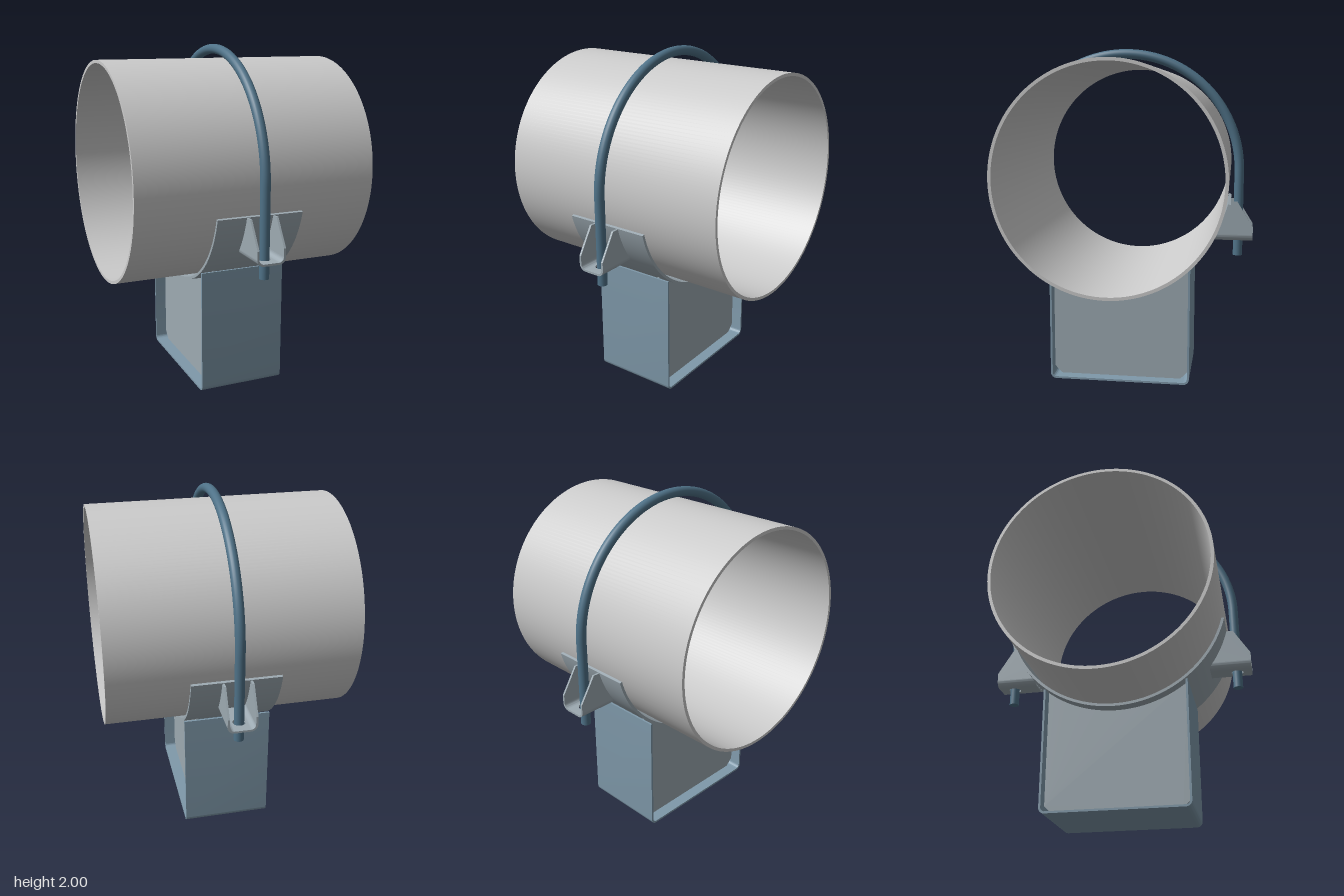
import * as THREE from 'three';
import { toCreasedNormals } from 'three/addons/utils/BufferGeometryUtils.js';

const CY = 1.275;          // height of the pipe axis
const HALF = 0.257;        // half width of the support
const PI = Math.PI;

const material = (color) => new THREE.MeshStandardMaterial({ color });
const pipeMat = material(0xcccccc);
const plateMat = material(0x9daab2);
const channelMat = material(0x7f99aa);
const boltMat = material(0x4f7288);

function addMesh(parent, name, geometry, mat) {
  const mesh = new THREE.Mesh(geometry, mat);
  mesh.name = name;
  parent.add(mesh);
  return mesh;
}

// Extrude a shape, centred on its depth, with smooth curves and sharp edges
function extrude(shape, depth, curveSegments = 24) {
  const g = new THREE.ExtrudeGeometry(shape, { depth, bevelEnabled: false, curveSegments });
  g.translate(0, 0, -depth / 2);
  return toCreasedNormals(g, 0.5);
}

// Shape drawn in (z, y), extruded along x
const extrudeX = (shape, depth, segments) => extrude(shape, depth, segments).rotateY(-PI / 2);

const polygon = (points) => new THREE.Shape(points.map(([a, b]) => new THREE.Vector2(a, b)));

// Part of a ring between two angles
function arcBand(cx, cy, inner, outer, from, to) {
  const s = new THREE.Shape();
  s.absarc(cx, cy, outer, from, to, false);
  s.absarc(cx, cy, inner, to, from, true);
  s.closePath();
  return s;
}

// U-shaped channel with rounded lower corners
function channelShape() {
  const w = 0.425, t = 0.012, top = 0.735, r = 0.035;
  const s = new THREE.Shape();
  s.moveTo(-w, top);
  s.lineTo(-w, r);
  s.absarc(-w + r, r, r, PI, 1.5 * PI, false);
  s.absarc(w - r, r, r, 1.5 * PI, 2 * PI, false);
  s.lineTo(w, top);
  s.lineTo(w - t, top);
  s.absarc(w - r, r, r - t, 0, -PI / 2, true);
  s.absarc(-w + r, r, r - t, -PI / 2, -PI, true);
  s.lineTo(-w + t, top);
  s.closePath();
  return s;
}

// Web plate: clipped lower corners, top cut to the cradle
function webShape() {
  const w = 0.413, t = 0.012, c = 0.045, r = 0.67;
  const a = Math.acos(w / r);
  const s = new THREE.Shape();
  s.moveTo(-w, t + c);
  s.lineTo(-w + c, t);
  s.lineTo(w - c, t);
  s.lineTo(w, t + c);
  s.absarc(0, CY, r, -a, -PI + a, true);
  s.closePath();
  return s;
}

// Bent ear on the front of the cradle that takes one bolt leg
function createEar() {
  const ear = new THREE.Group();
  const w = 0.085, t = 0.012, r = 0.04, y0 = 0.857, zIn = 0.54, zOut = 0.785;
  const yBend = y0 + r, depth = zOut - zIn, zMid = (zIn + zOut) / 2;

  // side cheeks, following the cradle on the inner edge
  const cheek = new THREE.Shape();
  const angle = (y) => Math.asin((y - CY) / 0.668);
  cheek.moveTo(zOut, yBend);
  cheek.lineTo(zOut, 0.945);
  cheek.lineTo(0.69, 1.097);
  cheek.absarc(0, CY, 0.668, angle(1.097), angle(yBend), true);
  cheek.closePath();
  for (const side of [-1, 1]) {
    addMesh(ear, 'earCheek', extrudeX(cheek, t), plateMat).position.x = side * (w - t / 2);
    // rounded bend between cheek and floor
    const from = side > 0 ? 1.5 * PI : PI;
    const bend = arcBand(side * (w - r), yBend, r - t, r, from, from + PI / 2);
    addMesh(ear, 'earBend', extrude(bend, depth, 8), plateMat).position.z = zMid;
  }

  // floor with the bolt hole
  const x = w - r;
  const floor = polygon([[-x, -zOut], [x, -zOut], [x, -zIn], [-x, -zIn]]);
  const hole = new THREE.Path();
  hole.absarc(0, -0.697, 0.036, 0, 2 * PI, true);
  floor.holes.push(hole);
  addMesh(ear, 'earFloor', extrude(floor, t).rotateX(-PI / 2), plateMat).position.y = y0 + t / 2;
  return ear;
}

// U-bolt: two straight legs joined by a half circle
function createBolt() {
  const bolt = new THREE.Group();
  const R = 0.697, r = 0.0285, bottom = 0.758, len = CY - bottom;
  const arch = new THREE.TorusGeometry(R, r, 20, 72, PI).rotateY(PI / 2);
  addMesh(bolt, 'boltArch', arch, boltMat).position.y = CY;
  for (const side of [-1, 1]) {
    const leg = new THREE.CylinderGeometry(r, r, len, 20);
    addMesh(bolt, 'boltLeg', leg, boltMat).position.set(0, bottom + len / 2, side * R);
  }
  return bolt;
}

export function createModel() {
  const model = new THREE.Group();
  model.name = 'pipeSupport';

  // open pipe
  const ring = new THREE.Shape();
  ring.absarc(0, CY, 0.644, 0, 2 * PI, false);
  const bore = new THREE.Path();
  bore.absarc(0, CY, 0.626, 0, 2 * PI, true);
  ring.holes.push(bore);
  addMesh(model, 'pipe', extrudeX(ring, 1.426, 96), pipeMat);

  // curved cradle under the pipe
  const rad = THREE.MathUtils.degToRad;
  const cradle = arcBand(0, CY, 0.659, 0.675, rad(195), rad(345));
  addMesh(model, 'cradle', extrudeX(cradle, HALF * 2, 64), plateMat);

  // base channel and its two web plates
  addMesh(model, 'baseChannel', extrudeX(channelShape(), HALF * 2, 10), channelMat);
  for (const side of [-1, 1]) {
    addMesh(model, 'webPlate', extrudeX(webShape(), 0.014, 40), plateMat).position.x = side * 0.18;
  }

  // ears, front and back
  for (const turn of [0, PI]) {
    const ear = createEar();
    ear.name = turn ? 'backEar' : 'frontEar';
    ear.rotation.y = turn;
    model.add(ear);
  }

  const bolt = createBolt();
  bolt.name = 'uBolt';
  model.add(bolt);
  return model;
}
